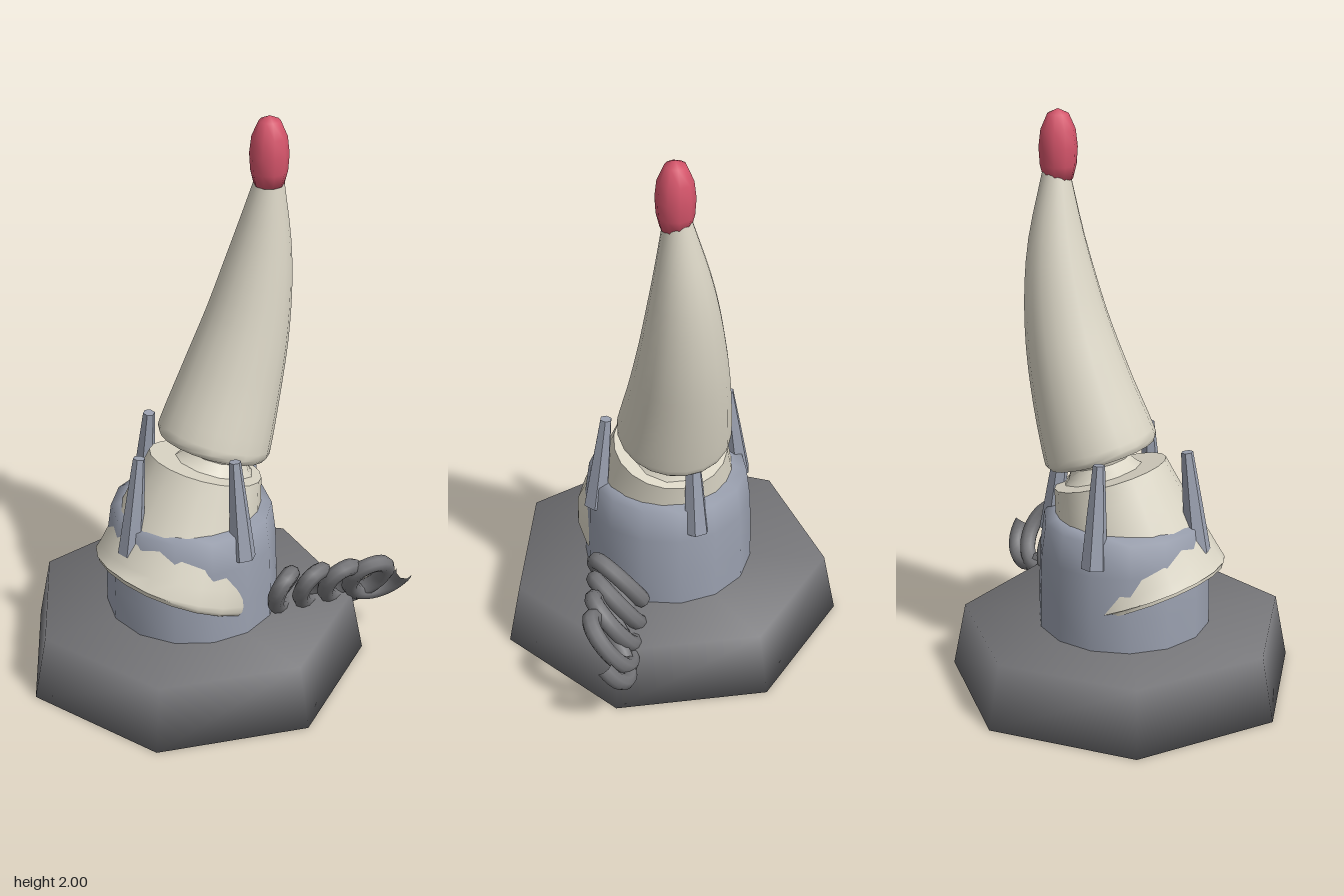
import * as THREE from 'three';
import { mergeVertices, toCreasedNormals } from 'three/addons/utils/BufferGeometryUtils.js';

const paint = (name, color) => {
  const m = new THREE.MeshStandardMaterial({ color });
  m.name = name;
  return m;
};

// Weld all corners so shading runs smoothly over every edge
function smooth(geo) {
  geo.deleteAttribute('normal');
  geo.deleteAttribute('uv');
  const g = mergeVertices(geo, 1e-4);
  g.computeVertexNormals();
  return g;
}

// Closed round loft: stations are [x, y, z, radius]
function loft(stations, steps, sides) {
  const curve = new THREE.CatmullRomCurve3(stations.map(s => new THREE.Vector3(s[0], s[1], s[2])));
  const radii = new THREE.CatmullRomCurve3(stations.map((s, i) => new THREE.Vector3(i, s[3], 0)));
  const pos = [], idx = [];
  for (let i = 0; i <= steps; i++) {
    const k = i / steps;
    const c = curve.getPoint(k), r = radii.getPoint(k).y, t = curve.getTangent(k);
    const u = new THREE.Vector3(1, 0, 0).addScaledVector(t, -t.x).normalize();
    const v = new THREE.Vector3().crossVectors(u, t);
    for (let j = 0; j < sides; j++) {
      const a = (j / sides) * Math.PI * 2;
      const p = c.clone().addScaledVector(u, r * Math.cos(a)).addScaledVector(v, r * Math.sin(a));
      pos.push(p.x, p.y, p.z);
      if (i < steps) {
        const j2 = (j + 1) % sides, A = i * sides, B = A + sides;
        idx.push(A + j, B + j, A + j2, A + j2, B + j, B + j2);
      }
    }
  }
  const first = curve.getPoint(0), last = curve.getPoint(1);
  const n = pos.length / 3, top = steps * sides;
  pos.push(first.x, first.y, first.z, last.x, last.y, last.z);
  for (let j = 0; j < sides; j++) {
    const j2 = (j + 1) % sides;
    idx.push(n, j, j2, n + 1, top + j2, top + j);
  }
  const g = new THREE.BufferGeometry();
  g.setAttribute('position', new THREE.Float32BufferAttribute(pos, 3));
  g.setIndex(idx);
  return toCreasedNormals(g, 0.9);
}

// Wire spiral whose loops open out and turn toward the front
class Spiral extends THREE.Curve {
  getPoint(k, target = new THREE.Vector3()) {
    const a = k * Math.PI * 2 * 4.1 - 0.5;
    const w = 0.06 + 0.04 * k, b = -0.06 * (1 - k);
    return target.set(
      0.17 + 0.385 * Math.min(1, k * 1.12) + w * Math.cos(a),
      0.3 + 0.1 * Math.sin(a),
      0.18 + b * Math.cos(a) + 0.065 * Math.sin(a)
    );
  }
}

export function createModel() {
  const stone = paint('dark grey', 0x757578);
  const steel = paint('blue grey', 0x9aa0af);
  const ivory = paint('ivory', 0xdad5c5);
  const red = paint('red', 0xd6556b);

  const model = new THREE.Group();
  const add = (name, geo, mat, x = 0, y = 0, z = 0) => {
    const m = new THREE.Mesh(geo, mat);
    m.name = name;
    m.position.set(x, y, z);
    model.add(m);
    return m;
  };
  const cx = -0.085, cz = 0.027;

  // Seven-sided plinth
  add('base', smooth(new THREE.CylinderGeometry(0.57, 0.615, 0.23, 7, 1, false, Math.PI)), stone, cx, 0.115, cz);

  // Round socket with a slightly domed top
  const socket = [[0.3, 0.2], [0.3, 0.35], [0.295, 0.5], [0.28, 0.615], [0.23, 0.63], [0, 0.64]]
    .map(p => new THREE.Vector2(p[0], p[1]));
  add('socket', smooth(new THREE.LatheGeometry(socket, 14)), steel, cx, 0, cz);

  // Four prongs leaning inward around the socket
  const turn = Math.atan2(0.24, 0.115);
  for (let i = 0; i < 4; i++) {
    const a = turn + i * Math.PI / 2, c = Math.cos(a), s = Math.sin(a);
    add('prong', loft([
      [cx + 0.272 * c, 0.525, cz + 0.272 * s, 0.045],
      [cx + 0.25 * c, 0.7, cz + 0.25 * s, 0.034],
      [cx + 0.228 * c, 0.88, cz + 0.228 * s, 0.021]
    ], 2, 6), steel);
  }

  // Broken lower stump of the horn
  add('hornStump', loft([
    [-0.155, 0.345, 0.065, 0.287],
    [-0.145, 0.37, 0.062, 0.298],
    [-0.09, 0.56, 0.035, 0.25],
    [-0.03, 0.76, 0.012, 0.2]
  ], 9, 20), ivory);

  // Crushed neck between the two halves
  add('hornNeck', loft([
    [0.0, 0.74, 0.01, 0.15],
    [0.015, 0.79, 0.005, 0.105],
    [0.03, 0.85, 0, 0.14]
  ], 4, 11), ivory);

  // Curved upper horn
  add('horn', loft([
    [-0.003, 0.825, 0, 0.187],
    [0.005, 0.85, -0.003, 0.199],
    [0.07, 1.05, -0.026, 0.176],
    [0.132, 1.27, -0.04, 0.146],
    [0.177, 1.52, -0.042, 0.105],
    [0.2, 1.79, -0.026, 0.046]
  ], 18, 20), ivory);

  // Red tip
  const tip = [[0, 1.757], [0.05, 1.762], [0.062, 1.81], [0.066, 1.87], [0.059, 1.93], [0.036, 1.983], [0, 2]]
    .map(p => new THREE.Vector2(p[0], p[1]));
  add('tip', smooth(new THREE.LatheGeometry(tip, 10)), red, 0.195, 0, -0.02);

  // Coiled wire at the side
  add('coil', new THREE.TubeGeometry(new Spiral(), 130, 0.03, 8), stone);

  return model;
}
